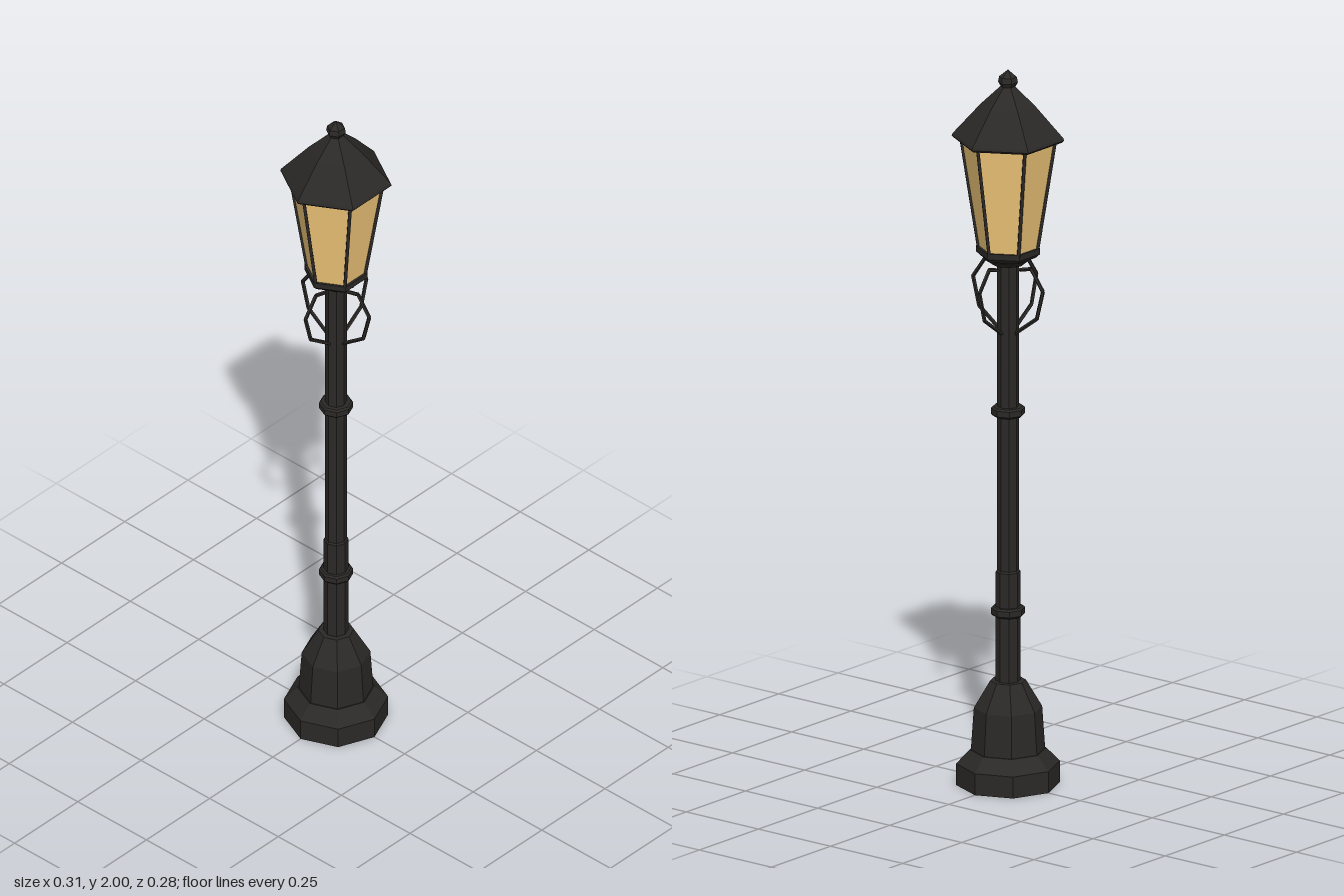
import * as THREE from 'three';

const iron = new THREE.MeshStandardMaterial({ color: 0x2b2927, flatShading: true });
const glass = new THREE.MeshStandardMaterial({ color: 0xf2c879, flatShading: true });

export function createModel() {
  const root = new THREE.Group();
  root.name = 'streetLamp';

  const add = (name, geometry, material = iron, parent = root) => {
    const mesh = new THREE.Mesh(geometry, material);
    mesh.name = name;
    parent.add(mesh);
    return mesh;
  };

  // Turned part from [radius, height] pairs, bottom to top; six-sided parts have corners on the x axis
  const turned = (name, sides, profile, material) => add(name, new THREE.LatheGeometry(
    profile.map(([r, y]) => new THREE.Vector2(r, y)), sides, sides === 6 ? Math.PI / 6 : 0), material);

  // Straight rod between two points
  const rod = (name, a, b, radius, sides, parent) => {
    const dir = b.clone().sub(a);
    const mesh = add(name, new THREE.CylinderGeometry(radius, radius, dir.length(), sides), iron, parent);
    mesh.position.copy(a).add(b).multiplyScalar(0.5);
    mesh.quaternion.setFromUnitVectors(new THREE.Vector3(0, 1, 0), dir.normalize());
    return mesh;
  };

  // Foot and post
  turned('base', 8, [[0, 0], [0.14, 0], [0.14, 0.06], [0.103, 0.098], [0.1, 0.098],
    [0.092, 0.215], [0.048, 0.29], [0, 0.29]]);
  turned('lowerPost', 8, [[0.033, 0.28], [0.033, 0.595], [0.029, 0.6], [0, 0.6]]);
  turned('upperPost', 8, [[0.029, 0.59], [0.029, 1.47]]);

  // Rings around the post
  for (const y of [0.485, 1.045]) {
    turned('postRing', 8, [[0.025, y - 0.013], [0.041, y - 0.013], [0.046, y - 0.008],
      [0.046, y + 0.008], [0.041, y + 0.013], [0.025, y + 0.013]]);
  }

  // Four bent iron brackets below the lantern
  const bend = [[0.022, 1.263], [0.1, 1.32], [0.121, 1.4], [0.08, 1.457], [0.042, 1.447]]
    .map(([x, y]) => new THREE.Vector3(x, y, 0));
  for (let i = 0; i < 4; i++) {
    const bracket = new THREE.Group();
    bracket.name = 'bracket';
    bracket.rotation.y = i * Math.PI / 2;
    for (let j = 0; j < bend.length - 1; j++) rod('bracketRod', bend[j], bend[j + 1], 0.0055, 5, bracket);
    root.add(bracket);
  }

  // Lantern
  turned('lanternNeck', 8, [[0.028, 1.452], [0.045, 1.457], [0.064, 1.472], [0.064, 1.48], [0, 1.48]]);
  turned('lanternPlate', 6, [[0, 1.476], [0.075, 1.476], [0.087, 1.487], [0.087, 1.503], [0, 1.503]]);
  turned('lanternGlass', 6, [[0.079, 1.5], [0.128, 1.81]], glass);
  for (let i = 0; i < 6; i++) {
    const a = i * Math.PI / 3;
    const corner = (r, y) => new THREE.Vector3(r * Math.cos(a), y, r * Math.sin(a));
    rod('lanternBar', corner(0.08, 1.498), corner(0.129, 1.81), 0.006, 4);
  }

  // Roof and finial
  turned('roof', 6, [[0, 1.802], [0.147, 1.802], [0.153, 1.808], [0.15, 1.815],
    [0.075, 1.9], [0.018, 1.955], [0, 1.96]]);
  turned('finial', 6, [[0.015, 1.945], [0.027, 1.965], [0.024, 1.98], [0, 2]]);

  return root;
}
